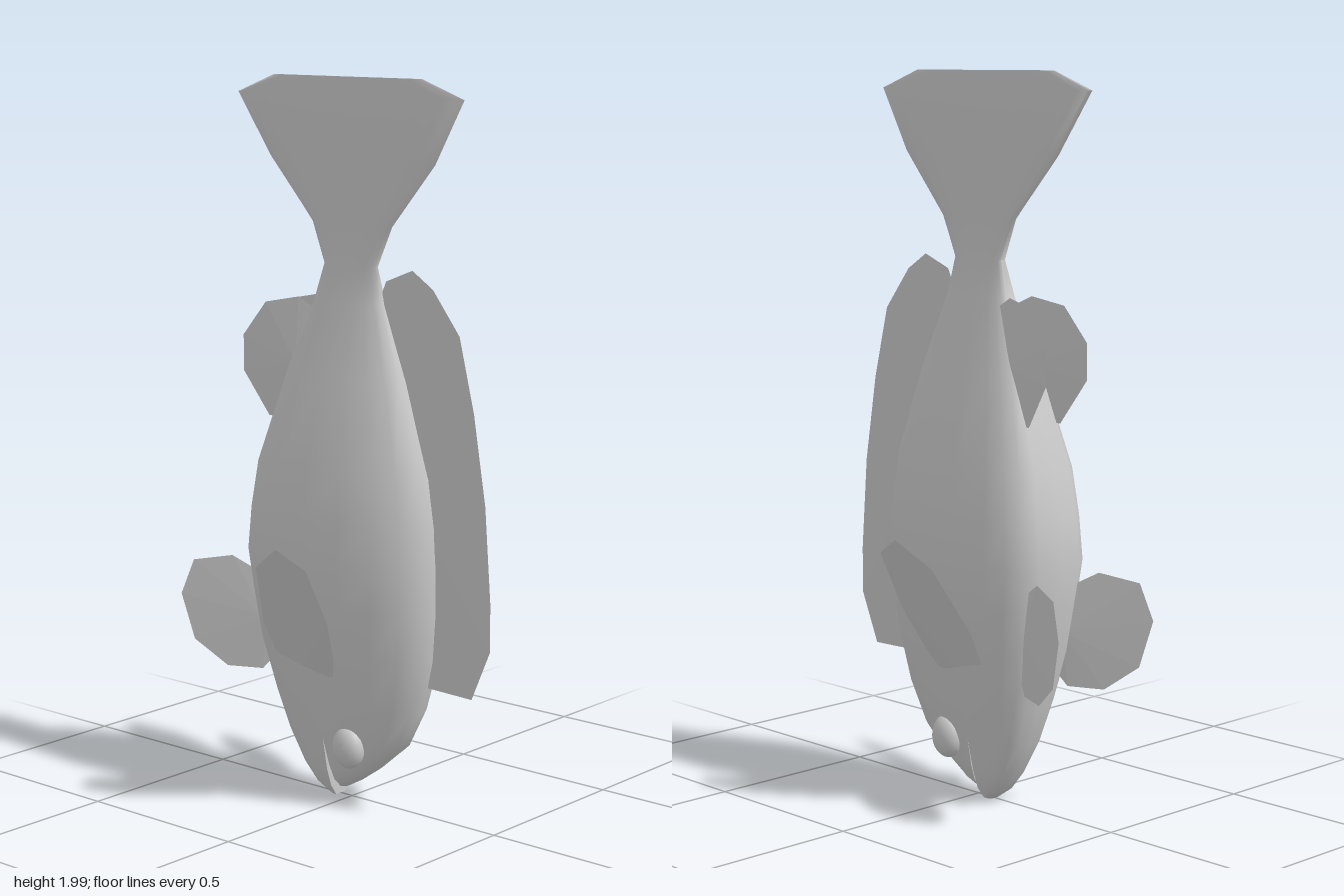
import * as THREE from 'three';
import { mergeVertices, toCreasedNormals } from 'three/addons/utils/BufferGeometryUtils.js';

const smooth = new THREE.MeshStandardMaterial({ color: 0xcccccc, side: THREE.DoubleSide });
const flat = new THREE.MeshStandardMaterial({ color: 0xcccccc, side: THREE.DoubleSide, flatShading: true });

// Body sections from snout to tail: [y, back z, belly z, half width, centre z, mouth gap]
const SECTIONS = [
  [0.04, -0.01, -0.065, 0.02, -0.033, 0.008],
  [0.065, 0.035, -0.11, 0.043, -0.034, 0.006],
  [0.11, 0.10, -0.15, 0.06, -0.036, 0.004],
  [0.19, 0.195, -0.20, 0.08, -0.038, 0],
  [0.30, 0.25, -0.235, 0.105, -0.045, 0],
  [0.45, 0.29, -0.275, 0.135, -0.05, 0],
  [0.58, 0.305, -0.295, 0.152, -0.05, 0],
  [0.70, 0.31, -0.315, 0.16, -0.05, 0],
  [0.82, 0.305, -0.305, 0.153, -0.05, 0],
  [0.95, 0.285, -0.285, 0.14, -0.045, 0],
  [1.2, 0.20, -0.205, 0.085, -0.03, 0],
  [1.4, 0.115, -0.125, 0.034, -0.01, 0],
  [1.5, 0.09, -0.095, 0.016, 0, 0],
  [1.61, 0.14, -0.14, 0.012, 0, 0],
  [1.78, 0.285, -0.295, 0.011, -0.01, 0],
  [1.95, 0.38, -0.415, 0.009, -0.02, 0],
  [2.0, 0.24, -0.28, 0.005, -0.02, 0],
];

// Loft made of a back half and a belly half, which part at the mouth
function bodyGeometry() {
  const N = 10, pos = [], index = [];
  for (const side of [1, -1]) {
    const start = pos.length / 3, n = side > 0 ? 2.2 : 3.2;
    for (const [y, zBack, zBelly, w, zc, gap] of SECTIONS) {
      const depth = side > 0 ? zBack - zc : zc - zBelly;
      for (let j = 0; j <= N; j++) {
        const a = (j / N) * Math.PI, c = Math.cos(a) * side;
        const s = Math.pow(Math.abs(Math.sin(a)), 2 / n);
        pos.push(
          w * Math.sign(c) * Math.pow(Math.abs(c), 2 / n),
          y - (side < 0 ? gap * 3.5 : 0),
          zc + side * (gap + (depth - gap) * s),
        );
      }
    }
    const at = (i, j) => start + i * (N + 1) + (j % (N + 1));
    for (let i = 0; i < SECTIONS.length - 1; i++) {
      // Mouth rows also get the flat inner face of the jaw
      const count = SECTIONS[i][5] > 0 ? N + 1 : N;
      for (let j = 0; j < count; j++) {
        index.push(at(i, j), at(i + 1, j), at(i, j + 1));
        index.push(at(i + 1, j), at(i + 1, j + 1), at(i, j + 1));
      }
    }
    // End caps
    const last = SECTIONS.length - 1;
    for (let j = 1; j < N; j++) {
      index.push(at(0, 0), at(0, j), at(0, j + 1));
      index.push(at(last, 0), at(last, j + 1), at(last, j));
    }
  }
  const g = new THREE.BufferGeometry();
  g.setAttribute('position', new THREE.Float32BufferAttribute(pos, 3));
  g.setIndex(index);
  return toCreasedNormals(mergeVertices(g, 1e-4), 0.9);
}

// Thin fin: sharp outline, thickest at its root point
function finGeometry(outline, root, normal, thickness) {
  const n = new THREE.Vector3(...normal).normalize().multiplyScalar(thickness);
  const pts = outline.map((p) => new THREE.Vector3(...p));
  const a = new THREE.Vector3(...root).add(n), b = new THREE.Vector3(...root).sub(n);
  const tris = [];
  pts.forEach((p, i) => {
    const q = pts[(i + 1) % pts.length];
    const facing = q.clone().sub(p).cross(a.clone().sub(p)).dot(n) > 0;
    if (facing) tris.push(p, q, a, q, p, b);
    else tris.push(q, p, a, p, q, b);
  });
  const g = new THREE.BufferGeometry().setFromPoints(tris);
  g.computeVertexNormals();
  return g;
}

export function createModel() {
  const model = new THREE.Group();
  const add = (name, geometry, material) => {
    const mesh = new THREE.Mesh(geometry, material);
    mesh.name = name;
    model.add(mesh);
    return mesh;
  };
  const addPair = (name, geometry, material) => {
    add('left' + name, geometry, material);
    add('right' + name, geometry, material).scale.x = -1;
  };

  add('bodyAndTail', bodyGeometry(), smooth);

  // Long fin along the back, outline as [z, y]
  const dorsal = [[0.24, 0.375], [0.42, 0.37], [0.48, 0.51], [0.48, 0.64], [0.46, 0.9], [0.42, 1.14],
    [0.37, 1.34], [0.28, 1.455], [0.21, 1.5], [0.12, 1.465], [0.09, 1.4]];
  add('dorsalFin', finGeometry(dorsal.map(([z, y]) => [0, y, z]), [0, 0.85, 0.25], [1, 0, 0], 0.02), flat);

  // Paired side fins, sloping outward and up
  const pectoral = [[0.115, 0.03], [0.145, 0.06], [0.205, 0.09], [0.285, 0.085], [0.31, 0],
    [0.275, -0.105], [0.185, -0.16], [0.14, -0.155]];
  addPair('PectoralFin', finGeometry(pectoral.map(([x, z]) => [x, 0.77 - 2 * (0.31 - x), z]),
    [0.13, 0.41, -0.06], [2, -1, 0], 0.01), flat);

  // Paired belly fins, splayed outward
  const pelvic = [[-0.27, 0.63], [-0.34, 0.67], [-0.445, 0.65], [-0.48, 0.55], [-0.445, 0.42],
    [-0.355, 0.35], [-0.26, 0.35], [-0.22, 0.4]];
  const pelvicX = (z) => 0.1 + (-0.3 - z) * 0.45;
  addPair('PelvicFin', finGeometry(pelvic.map(([z, y]) => [pelvicX(z), y, z]),
    [pelvicX(-0.25), 0.5, -0.25], [1, 0, 0.45], 0.006), flat);

  // Paired rear fins
  const rear = [[-0.11, 1.38], [-0.16, 1.405], [-0.26, 1.385], [-0.33, 1.29], [-0.33, 1.19],
    [-0.25, 1.07], [-0.2, 1.07]];
  const rearX = (z) => 0.03 + (-0.11 - z) * 0.21;
  addPair('RearFin', finGeometry(rear.map(([z, y]) => [rearX(z), y, z]),
    [rearX(-0.16), 1.22, -0.16], [1, 0, 0.21], 0.012), flat);

  // Bulging eyes
  const eye = new THREE.SphereGeometry(1, 16, 12).scale(0.036, 0.06, 0.05).translate(0.072, 0.18, 0.05);
  addPair('Eye', eye, smooth);

  return model;
}
